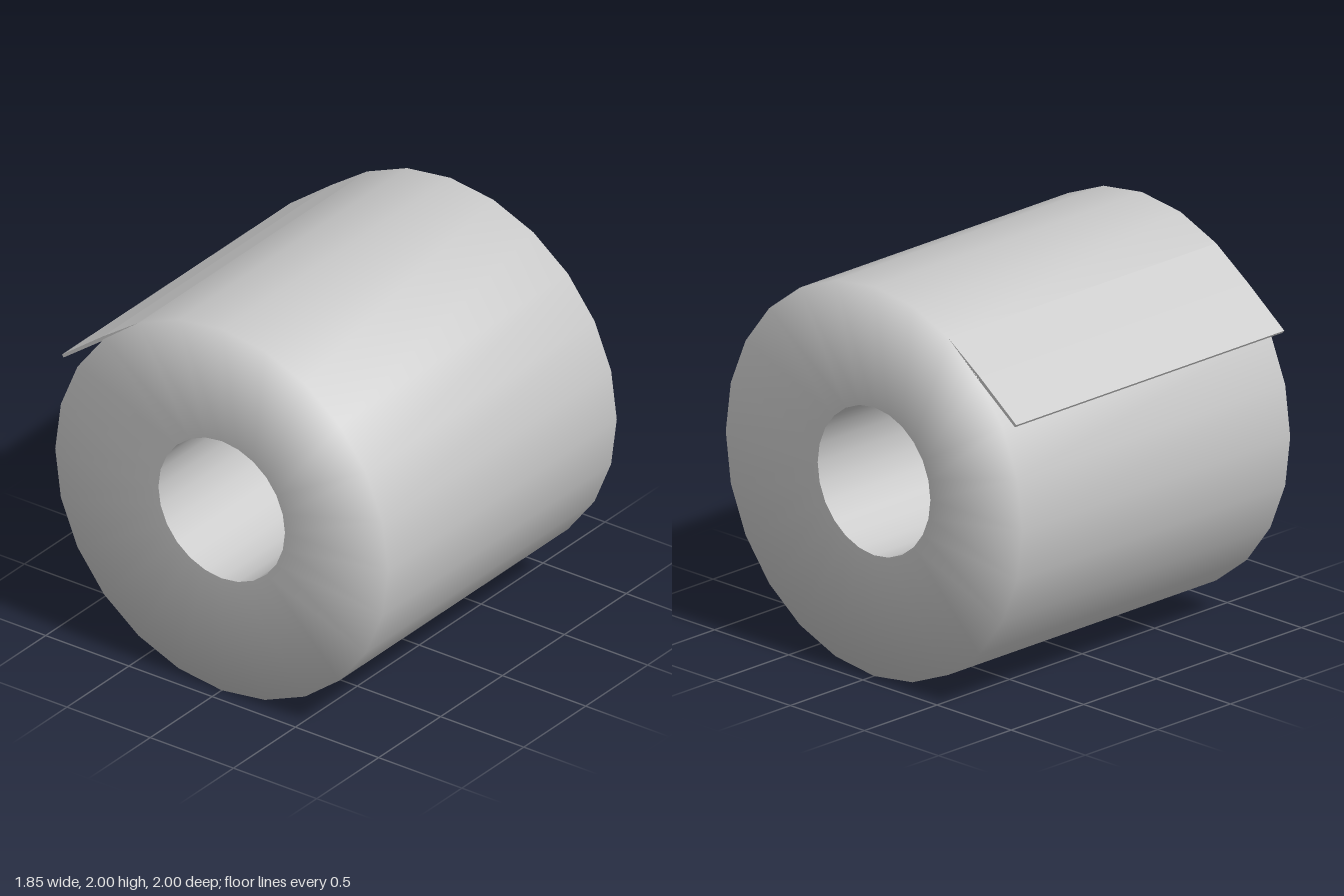
import * as THREE from 'three';

const R = 1, HOLE = 0.38, HALF = 0.923, SIDES = 24;

export function createModel() {
  const group = new THREE.Group();
  group.name = 'paperRoll';
  const material = new THREE.MeshStandardMaterial({ color: 0xcccccc });

  const add = (name, geometry) => {
    const mesh = new THREE.Mesh(geometry, material);
    mesh.name = name;
    group.add(mesh);
  };

  // Turn a (radius, offset) profile around the x axis through the roll's centre
  const turned = (profile) =>
    new THREE.LatheGeometry(profile.map(([r, h]) => new THREE.Vector2(r, h)), SIDES)
      .rotateZ(-Math.PI / 2)
      .translate(0, R, 0);

  // Wound paper: both ends and the outside share softly shaded rims
  add('roll', turned([[HOLE, -HALF], [R, -HALF], [R, HALF], [HOLE, HALF]]));

  // Inside of the core hole
  add('coreHole', turned([[HOLE, HALF], [HOLE, -HALF]]));

  // Loose sheet end leaving the roll at the upper back; profile is (-z, y)
  const profile = new THREE.Shape([
    [0.70, 1.705], [0.95, 1.522], [0.96, 1.535], [0.715, 1.718], [0.5, 1.866],
  ].map(([x, y]) => new THREE.Vector2(x, y)));
  add('looseSheet', new THREE.ExtrudeGeometry(profile, { depth: 2 * HALF, bevelEnabled: false })
    .translate(0, 0, -HALF)
    .rotateY(Math.PI / 2));

  return group;
}
